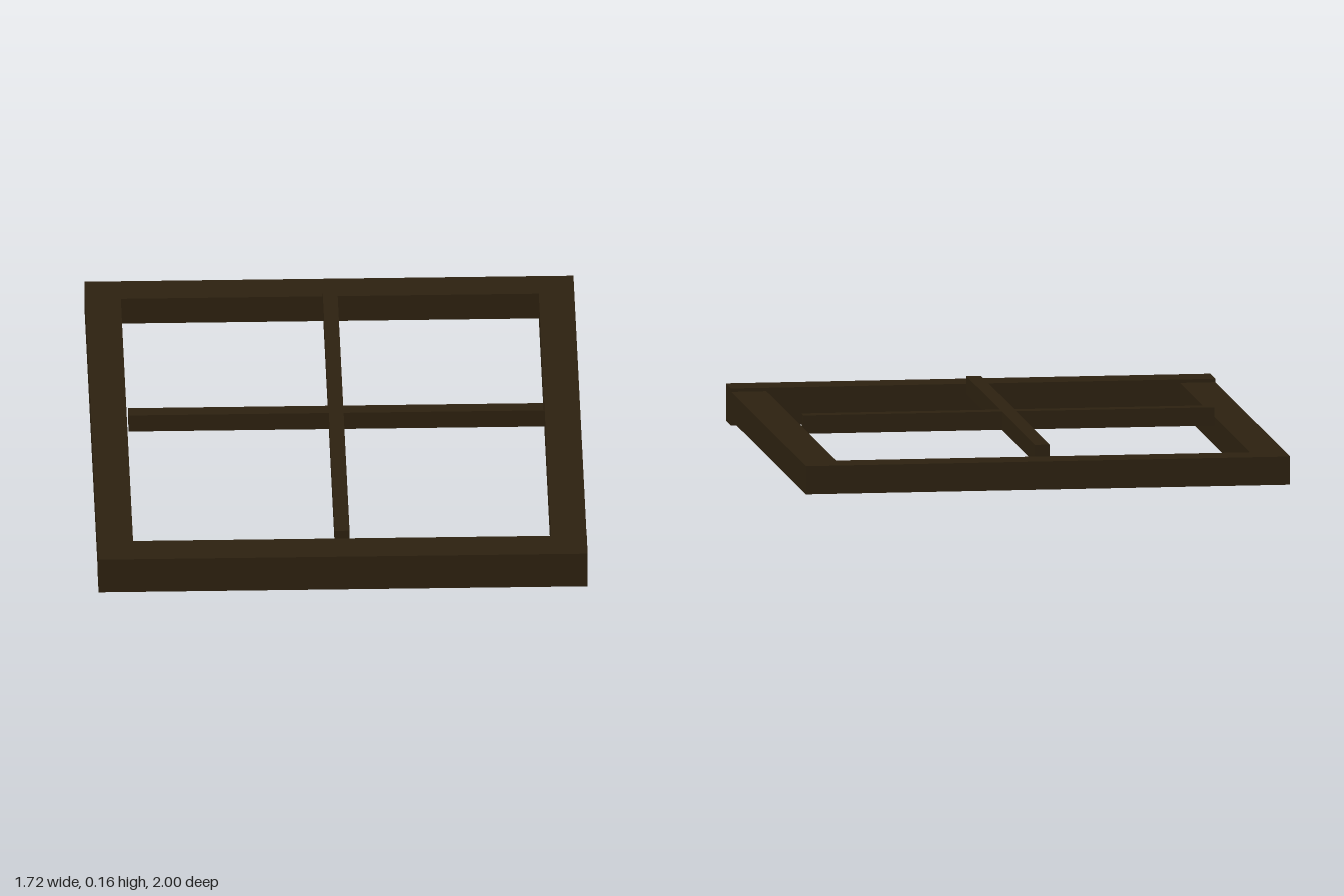
import * as THREE from 'three';

export function createModel() {
  const group = new THREE.Group();
  const darkWood = new THREE.MeshStandardMaterial({ color: 0x2e2210 });

  // Box given by its [min, max] range on each axis
  function beam(name, [x0, x1], [y0, y1], [z0, z1]) {
    const mesh = new THREE.Mesh(new THREE.BoxGeometry(x1 - x0, y1 - y0, z1 - z0), darkWood);
    mesh.position.set((x0 + x1) / 2, (y0 + y1) / 2, (z0 + z1) / 2);
    mesh.name = name;
    group.add(mesh);
  }

  // Three-sided casing with mitre-flush corners, open toward the sill
  const casing = new THREE.Shape([
    [-0.86, -0.87], [-0.86, 1], [0.86, 1], [0.86, -0.87],
    [0.735, -0.87], [0.735, 0.875], [-0.735, 0.875], [-0.735, -0.87],
  ].map(([x, y]) => new THREE.Vector2(x, y)));
  const casingGeometry = new THREE.ExtrudeGeometry(casing, { depth: 0.1, bevelEnabled: false });
  casingGeometry.rotateX(-Math.PI / 2).translate(0, 0.02, 0);
  const casingMesh = new THREE.Mesh(casingGeometry, darkWood);
  casingMesh.name = 'casing';
  group.add(casingMesh);

  // Thicker sill along the front edge
  beam('sill', [-0.86, 0.86], [0, 0.132], [0.87, 1]);

  // Raised crossing glazing bars
  const barHeight = [0.095, 0.16];
  beam('longGlazingBar', [-0.026, 0.026], barHeight, [-0.865, 0.865]);
  for (const side of [-1, 1]) {
    const span = [0.026 * side, 0.73 * side].sort((a, b) => a - b);
    beam(side > 0 ? 'leftCrossBar' : 'rightCrossBar', span, barHeight, [-0.026, 0.026]);
  }
  return group;
}
